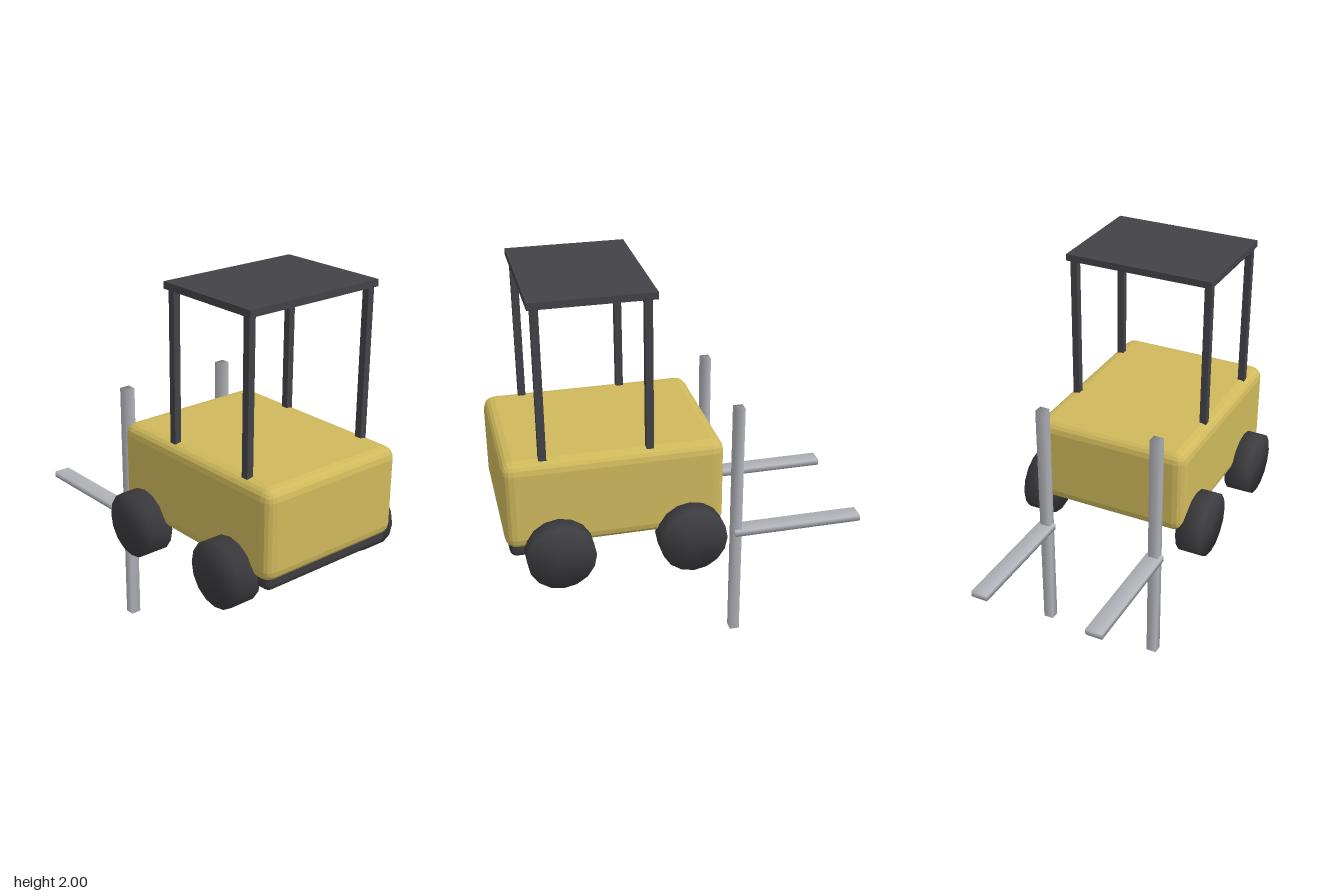
import * as THREE from 'three';
import { mergeVertices } from 'three/addons/utils/BufferGeometryUtils.js';
import { RoundedBoxGeometry } from 'three/addons/geometries/RoundedBoxGeometry.js';

const mat = (name, color) => {
  const m = new THREE.MeshStandardMaterial({ color });
  m.name = name;
  return m;
};

// Share normals across every edge for soft shading
function soften(geo) {
  geo.deleteAttribute('normal');
  geo.deleteAttribute('uv');
  const merged = mergeVertices(geo);
  merged.computeVertexNormals();
  return merged;
}

// Rounded box with faceted bevels
function bevelBox(w, h, d, r) {
  const geo = new RoundedBoxGeometry(w, h, d, 2, r);
  geo.computeVertexNormals();
  return geo;
}

export function createModel() {
  const group = new THREE.Group();
  group.name = 'forklift';
  const yellow = mat('yellow paint', 0xcfb95c);
  const dark = mat('dark frame', 0x434247);
  const rubber = mat('black rubber', 0x3d3d41);
  const steel = mat('grey steel', 0xb2b4ba);

  const add = (name, geo, material, x, y, z) => {
    const mesh = new THREE.Mesh(geo, material);
    mesh.name = name;
    mesh.position.set(x, y, z);
    group.add(mesh);
    return mesh;
  };

  // Body and the counterweight tucked beneath its front end
  add('body', bevelBox(0.85, 0.475, 1.11, 0.06), yellow, 0, 0.96, 0.385);
  add('counterweight', bevelBox(0.8, 0.14, 0.38, 0.035), rubber, 0, 0.74, 0.73);

  // Overhead guard
  add('roof', new THREE.BoxGeometry(0.8, 0.035, 0.61), dark, 0, 1.9825, 0.465);

  const post = new THREE.BoxGeometry(0.036, 0.8, 0.038);
  const wheel = soften(new THREE.CylinderGeometry(0.172, 0.172, 0.135, 16).rotateZ(Math.PI / 2));
  const mast = soften(new THREE.BoxGeometry(0.055, 1.33, 0.05));
  const fork = soften(new THREE.BoxGeometry(0.09, 0.032, 0.69));

  // Mirrored parts
  for (const [side, s] of [['left', 1], ['right', -1]]) {
    add(side + 'FrontPost', post, dark, s * 0.372, 1.575, 0.735);
    add(side + 'RearPost', post, dark, s * 0.372, 1.575, 0.205);
    add(side + 'FrontWheel', wheel, rubber, s * 0.4525, 0.71, 0.68);
    add(side + 'RearWheel', wheel, rubber, s * 0.4525, 0.71, 0.012);
    add(side + 'Mast', mast, steel, s * 0.32, 0.665, -0.265);
    add(side + 'Fork', fork, steel, s * 0.32, 0.615, -0.597);
  }
  return group;
}
